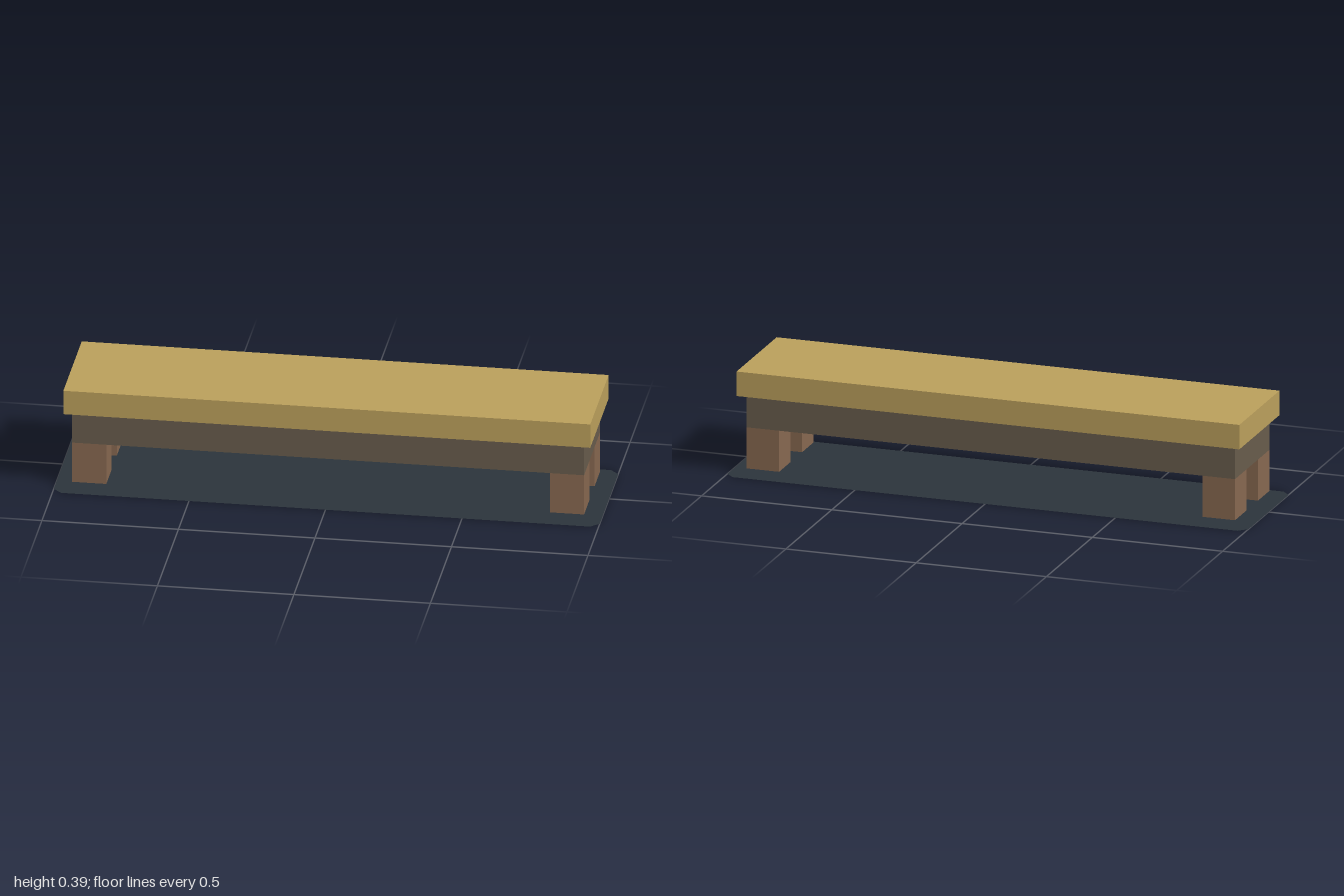
import * as THREE from 'three';

const flat = (name, color) => {
  const m = new THREE.MeshStandardMaterial({ color, side: THREE.DoubleSide });
  m.name = name;
  return m;
};

// Thin-walled box from y0 to y1 with no floor, and a lid only if asked for
function shell(name, material, w, d, y0, y1, lid) {
  const g = new THREE.BoxGeometry(w, y1 - y0, d);
  const all = Array.from(g.index.array);
  const faces = lid ? [0, 1, 2, 4, 5] : [0, 1, 4, 5];
  g.setIndex(faces.flatMap((f) => all.slice(f * 6, f * 6 + 6)));
  g.clearGroups();
  const mesh = new THREE.Mesh(g, material);
  mesh.name = name;
  mesh.position.y = (y0 + y1) / 2;
  return mesh;
}

export function createModel() {
  const group = new THREE.Group();
  group.name = 'bench';
  const paleWood = flat('pale wood', 0xbba05c);
  const greyWood = flat('grey wood', 0x685c4c);
  const brownWood = flat('brown wood', 0x876850);
  const slate = flat('dark slate', 0x2c343b);

  // Seat slab, hollow underneath
  group.add(shell('seat', paleWood, 1.93, 0.437, 0.299, 0.392, true));

  // Apron ring under the seat
  group.add(shell('apron', greyWood, 1.875, 0.375, 0.174, 0.299, false));

  // Four square legs
  for (const sx of [-1, 1]) {
    for (const sz of [-1, 1]) {
      const leg = shell('leg', brownWood, 0.125, 0.125, 0.018, 0.174, false);
      leg.position.x = sx * 0.875;
      leg.position.z = sz * 0.125;
      group.add(leg);
    }
  }

  // Flat ground plate with clipped corners
  const X = 1, Z = 0.25, c = 0.031;
  const outline = new THREE.Shape([
    [X - c, -Z], [X, c - Z], [X, Z - c], [X - c, Z],
    [c - X, Z], [-X, Z - c], [-X, c - Z], [c - X, -Z],
  ].map(([x, y]) => new THREE.Vector2(x, y)));
  const base = new THREE.Mesh(new THREE.ShapeGeometry(outline).rotateX(-Math.PI / 2), slate);
  base.name = 'basePlate';
  group.add(base);

  return group;
}
